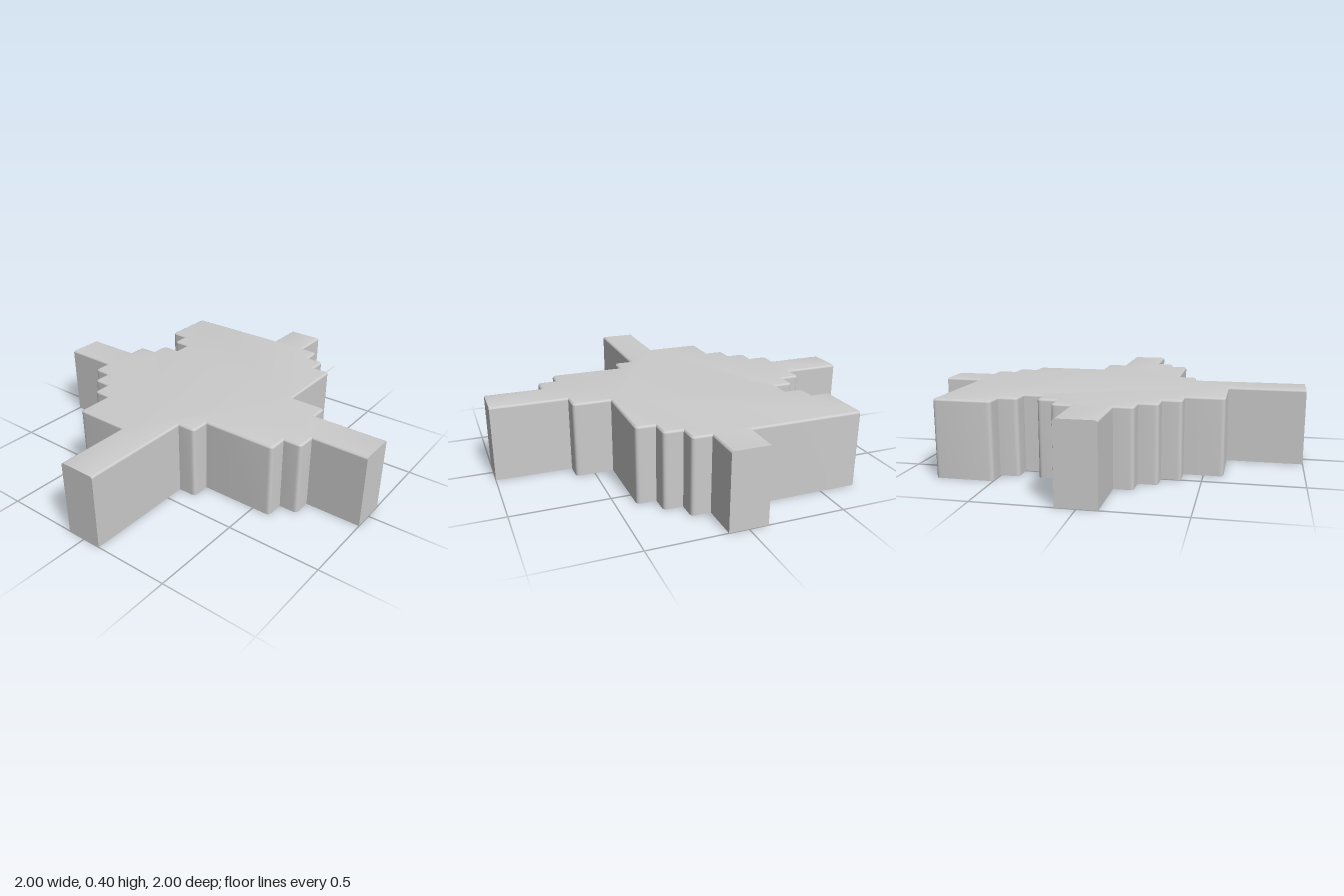
import * as THREE from 'three';
import { toCreasedNormals } from 'three/addons/utils/BufferGeometryUtils.js';

const HEIGHT = 0.4, ROOF = 0.1, BEVEL = 0.012, CORNER = 0.022;

// Plan outlines in cells of 0.1, as [x, z], clockwise from above
const OUTER = [
  [-1, -10], [1, -10], [1, -7], [2, -7], [2, -6], [3, -6], [3, -5], [4, -5], [4, -6], [5, -6], [5, -7],
  [8, -7], [8, -1], [10, -1], [10, 1], [8, 1], [8, 2], [7, 2], [7, 3], [6, 3], [6, 4],
  [2, 4], [2, 6], [1, 6], [1, 10], [-1, 10], [-1, 7], [-2, 7], [-2, 6], [-3, 6], [-3, 2],
  [-4, 2], [-4, 1], [-10, 1], [-10, -1], [-6, -1], [-6, -4], [-4, -4], [-4, -5], [-3, -5], [-3, -6],
  [-2, -6], [-2, -7], [-1, -7],
];
const CAVITY = [
  [-1, -7], [1, -7], [1, -6], [2, -6], [2, -5], [3, -5], [3, -4], [4, -4], [4, -5], [5, -5], [5, -6],
  [7, -6], [7, -1], [8, -1], [8, 1], [7, 1], [7, 2], [6, 2], [6, 3], [2, 3], [2, 4],
  [1, 4], [1, 6], [0, 6], [0, 7], [-1, 7], [-1, 6], [-2, 6], [-2, 2], [-3, 2], [-3, 1],
  [-4, 1], [-4, 0], [-6, 0], [-6, -1], [-5, -1], [-5, -3], [-4, -3], [-4, -4], [-3, -4], [-3, -5],
  [-2, -5], [-2, -6], [-1, -6],
];

// Turns an outline into shape points: insets it and rounds its convex corners,
// except those at the square-cut arm ends
function planPoints(cells, inset, radius) {
  const pts = cells.map(([x, z]) => new THREE.Vector2(x / 10, z / 10));
  const n = pts.length, out = [];
  pts.forEach((p, i) => {
    const a = p.clone().sub(pts[(i + n - 1) % n]).normalize();
    const b = pts[(i + 1) % n].clone().sub(p).normalize();
    const q = new THREE.Vector2(p.x - (a.y + b.y) * inset, p.y + (a.x + b.x) * inset);
    const atArmEnd = Math.max(Math.abs(p.x), Math.abs(p.y)) > 0.99;
    if (radius > 0 && !atArmEnd && a.cross(b) > 0) {
      const from = q.clone().addScaledVector(a, -radius);
      const to = q.clone().addScaledVector(b, radius);
      out.push(...new THREE.QuadraticBezierCurve(from, q, to).getPoints(4));
    } else out.push(q);
  });
  return out.map((p) => new THREE.Vector2(p.x, -p.y));
}

// Extrudes a plan shape upwards from the given base height
function extrudeUp(shape, base, depth, options = {}) {
  const geometry = new THREE.ExtrudeGeometry(shape, { depth, bevelEnabled: false, ...options });
  geometry.rotateX(-Math.PI / 2).translate(0, base, 0);
  // Keep the arm ends flat up to the top
  const pos = geometry.attributes.position;
  const snap = (v) => (Math.abs(v) > 0.98 ? Math.sign(v) : v);
  for (let i = 0; i < pos.count; i++) pos.setXYZ(i, snap(pos.getX(i)), pos.getY(i), snap(pos.getZ(i)));
  return toCreasedNormals(geometry, 0.6);
}

export function createModel() {
  const group = new THREE.Group();
  group.name = 'steppedHollowBlock';
  const material = new THREE.MeshStandardMaterial({ color: 0xcccccc });
  const add = (name, geometry) => {
    const mesh = new THREE.Mesh(geometry, material);
    mesh.name = name;
    group.add(mesh);
  };

  const outer = planPoints(OUTER, 0, CORNER);
  const cavity = planPoints(CAVITY, 0.003, 0);

  // Stepped outer wall with four solid arms, open underneath;
  // the hole runs against the outline so its faces look into the cavity
  const wall = new THREE.Shape(outer);
  wall.holes.push(new THREE.Path([...cavity].reverse()));
  add('wall', extrudeUp(wall, 0, HEIGHT - BEVEL));

  // Roof slab closing the cavity
  add('roof', extrudeUp(new THREE.Shape(cavity), HEIGHT - ROOF, ROOF - BEVEL));

  // Top surface with a softened rim
  add('topSurface', extrudeUp(new THREE.Shape(outer), HEIGHT - BEVEL - 0.001, 0.001, {
    bevelEnabled: true, bevelSize: BEVEL, bevelOffset: -BEVEL, bevelThickness: BEVEL, bevelSegments: 3,
  }));
  return group;
}
